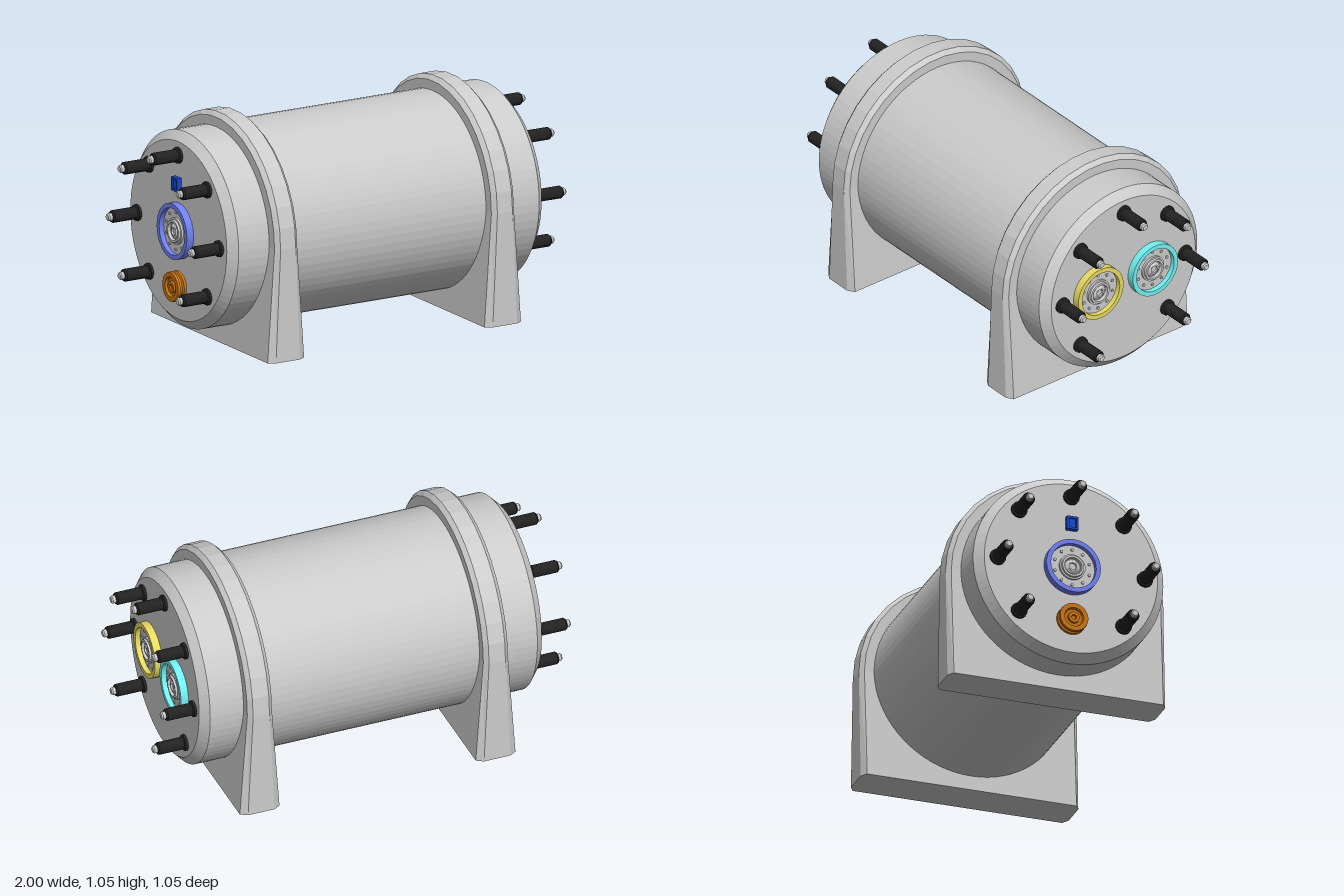
import * as THREE from 'three';
import { toCreasedNormals } from 'three/addons/utils/BufferGeometryUtils.js';

const CY = 0.53; // height of the tank axis
const mat = (color, flat = false) =>
  new THREE.MeshStandardMaterial({ color, flatShading: flat });
const GREY = mat(0xcccccc), FLAT = mat(0xcccccc, true), BLACK = mat(0x222222);

function part(name, geometry, material, x = 0, y = 0, z = 0) {
  const m = new THREE.Mesh(geometry, material);
  m.name = name;
  m.position.set(x, y, z);
  return m;
}

// Solid of revolution around x; profile is [x, radius] from low x to high x
function turned(profile, sides, start = 0, sweep = Math.PI * 2) {
  const pts = profile.map(([x, r]) => new THREE.Vector2(r, x));
  const g = new THREE.LatheGeometry(pts, sides, start, sweep);
  g.rotateZ(-Math.PI / 2);
  return toCreasedNormals(g, 0.5);
}

// Saddle bracket: half-round arch on a foot that widens towards the ground
function bracket(x) {
  const g = new THREE.Group();
  g.name = 'bracket';
  const w = 0.06, r = 0.525, c = 0.02, foot = 0.097;
  const arch = turned(
    [[-w, 0], [-w, r - c], [c - w, r], [w - c, r], [w, r - c], [w, 0]],
    17, Math.PI, Math.PI);
  g.add(part('bracketArch', arch, FLAT, 0, CY, 0));
  const outline = new THREE.Shape([
    [-w, c - r], [c - w, -r], [w - c, -r], [w, c - r],
    [w, r - c], [w - c, r], [c - w, r], [-w, r - c],
  ].map(([a, b]) => new THREE.Vector2(a, b)));
  const leg = new THREE.ExtrudeGeometry(outline, { depth: CY, bevelEnabled: false });
  leg.rotateX(-Math.PI / 2);
  const p = leg.attributes.position;
  for (let i = 0; i < p.count; i++) {
    if (p.getY(i) < 0.01) p.setX(i, p.getX(i) * foot / w);
  }
  leg.computeVertexNormals();
  g.add(part('bracketFoot', leg, FLAT));
  g.position.x = x;
  return g;
}

// Stud with a black sleeve and a grey tip
function stud(y, z) {
  const g = new THREE.Group();
  g.name = 'stud';
  g.add(part('studSleeve', turned(
    [[-0.01, 0], [-0.01, 0.038], [0.012, 0.038], [0.016, 0.029], [0.135, 0.029], [0.142, 0.024], [0.142, 0]], 20), BLACK));
  g.add(part('studTip', turned(
    [[0.13, 0], [0.13, 0.018], [0.156, 0.018], [0.162, 0.013], [0.162, 0]], 16), GREY));
  g.position.set(0, y, z);
  return g;
}

// Round port: coloured collar, recessed plate, bolt circle and stepped hub
function port(name, color, z) {
  const g = new THREE.Group();
  g.name = name;
  g.add(part('portCollar', turned(
    [[0, 0.109], [0, 0.131], [0.036, 0.131], [0.036, 0.109], [0, 0.109]], 48), mat(color)));
  g.add(part('portPlate', turned([[0, 0], [0, 0.11], [0.012, 0.11], [0.012, 0]], 48), GREY));
  g.add(part('portHub', turned([
    [0.01, 0.062], [0.022, 0.062], [0.022, 0.054], [0.032, 0.052], [0.032, 0.042],
    [0.018, 0.04], [0.018, 0.036], [0.028, 0.022], [0.028, 0.017], [0.02, 0.016], [0.02, 0]], 36), GREY));
  const bolt = turned([[0.01, 0], [0.01, 0.007], [0.018, 0.007], [0.018, 0]], 10);
  for (let i = 0; i < 10; i++) {
    const a = i / 10 * Math.PI * 2;
    g.add(part('portBolt', bolt, GREY, 0, 0.087 * Math.cos(a), 0.087 * Math.sin(a)));
  }
  g.position.z = z;
  return g;
}

// Seven studs on an end plate, heights relative to the axis
function endPlate(name) {
  const g = new THREE.Group();
  g.name = name;
  g.add(stud(0.355, 0));
  for (const s of [-1, 1]) {
    g.add(stud(0.252, s * 0.252), stud(0, s * 0.355), stud(-0.252, s * 0.252));
  }
  return g;
}

export function createModel() {
  const model = new THREE.Group();
  model.name = 'tank';
  const L = 0.838;

  // Faceted body with chamfered ends
  model.add(part('tankBody', turned([
    [-L, 0], [-L, 0.418], [-0.8, 0.459], [0.8, 0.459], [L, 0.418], [L, 0]], 72), FLAT, 0, CY, 0));
  model.add(bracket(-0.577), bracket(0.577));

  // Left end: two ports side by side
  const left = endPlate('leftEnd');
  left.position.set(L, CY, 0);
  left.add(port('yellowPort', 0xe8da62, 0.158), port('cyanPort', 0x72f0f0, -0.158));
  model.add(left);

  // Right end: one port, a small square socket above and a valve below
  const right = endPlate('rightEnd');
  right.rotation.y = Math.PI;
  right.position.set(-L, CY, 0);
  right.add(port('bluePort', 0x7080f0, 0));
  const blue = mat(0x1648c8);
  right.add(part('socketPlate', new THREE.BoxGeometry(0.016, 0.064, 0.054), blue, 0.008, 0.22, 0));
  for (const s of [-1, 1]) {
    right.add(part('socketRim', new THREE.BoxGeometry(0.024, 0.01, 0.054), blue, 0.012, 0.22 + s * 0.027, 0));
    right.add(part('socketRim', new THREE.BoxGeometry(0.024, 0.044, 0.01), blue, 0.012, 0.22, s * 0.022));
  }
  right.add(part('valve', turned([
    [0, 0], [0, 0.07], [0.012, 0.07], [0.016, 0.06], [0.028, 0.06], [0.032, 0.07], [0.044, 0.068],
    [0.044, 0.046], [0.032, 0.042], [0.032, 0.028], [0.042, 0.026], [0.042, 0.012], [0.034, 0.01], [0.034, 0]],
    32), mat(0xc87414), 0, -0.26, 0));
  model.add(right);
  return model;
}
